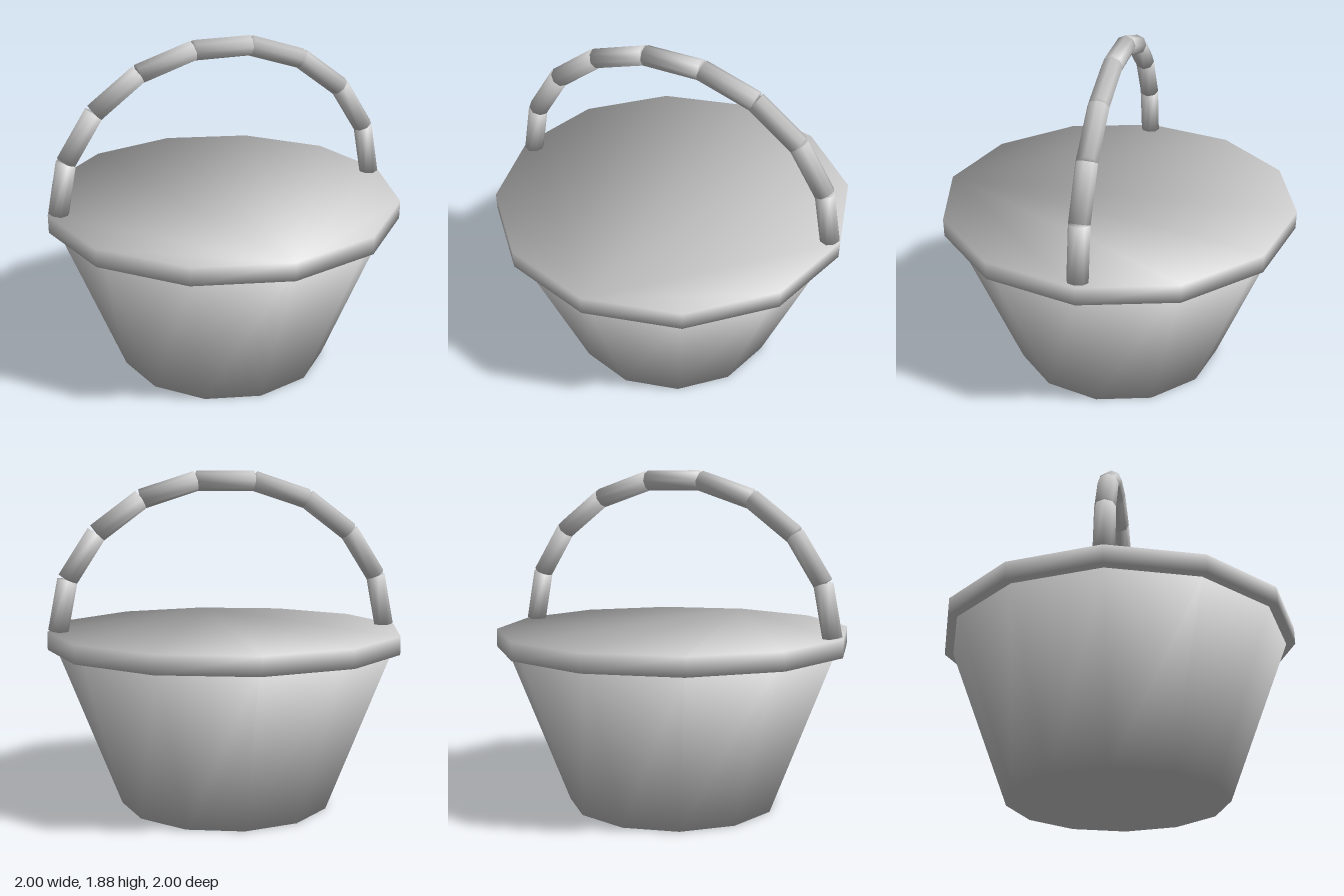
import * as THREE from 'three';

const SIDES = 12;

// Closed tapered prism standing on y = 0, shaded smoothly over sides and caps alike.
function softFrustum(sides, rBottom, rTop, height) {
  const positions = [], normals = [], index = [];
  const slope = Math.hypot(height, rTop - rBottom);
  const sideOut = height / slope, sideUp = (rBottom - rTop) / slope;
  const capWeight = Math.PI - 2 * Math.PI / sides;   // corner angle of a cap
  const sideWeight = Math.PI * Math.cos(Math.PI / sides);
  for (const [r, y, cap] of [[rBottom, 0, -1], [rTop, height, 1]]) {
    for (let i = 0; i < sides; i++) {
      const a = (i / sides) * Math.PI * 2;
      positions.push(r * Math.sin(a), y, r * Math.cos(a));
      const n = new THREE.Vector3(
        Math.sin(a) * sideOut * sideWeight,
        sideUp * Math.PI + cap * capWeight,
        Math.cos(a) * sideOut * sideWeight
      ).normalize();
      normals.push(n.x, n.y, n.z);
    }
  }
  for (let i = 0; i < sides; i++) {
    const j = (i + 1) % sides;
    index.push(i, j, sides + j, i, sides + j, sides + i);
  }
  for (let i = 1; i < sides - 1; i++) {
    index.push(0, i + 1, i, sides, sides + i, sides + i + 1);
  }
  const g = new THREE.BufferGeometry();
  g.setAttribute('position', new THREE.Float32BufferAttribute(positions, 3));
  g.setAttribute('normal', new THREE.Float32BufferAttribute(normals, 3));
  g.setIndex(index);
  return g;
}

export function createModel() {
  const group = new THREE.Group();
  group.name = 'basket';
  const gray = new THREE.MeshStandardMaterial({ color: 0xcccccc });
  gray.name = 'light gray';

  const add = (name, geometry, parent = group) => {
    const mesh = new THREE.Mesh(geometry, gray);
    mesh.name = name;
    parent.add(mesh);
    return mesh;
  };

  // Tapered body and the flat rim disc closing it
  add('body', softFrustum(SIDES, 0.6, 0.95, 0.9));
  add('rim', softFrustum(SIDES, 1, 1, 0.1)).position.y = 0.9;

  // Arched handle of nine straight segments
  const handle = new THREE.Group();
  handle.name = 'handle';
  group.add(handle);
  const segments = 9;
  const joint = (i) => {
    const a = (i / segments) * Math.PI;
    return new THREE.Vector3(0.94 * Math.cos(a), 1 + 0.84 * Math.sin(a), 0);
  };
  const up = new THREE.Vector3(0, 1, 0);
  for (let i = 0; i < segments; i++) {
    const start = joint(i);
    const along = joint(i + 1).sub(start);
    const segment = add('handleSegment' + (i + 1), softFrustum(8, 0.056, 0.056, along.length()), handle);
    segment.position.copy(start);
    segment.quaternion.setFromUnitVectors(up, along.normalize());
  }
  return group;
}
